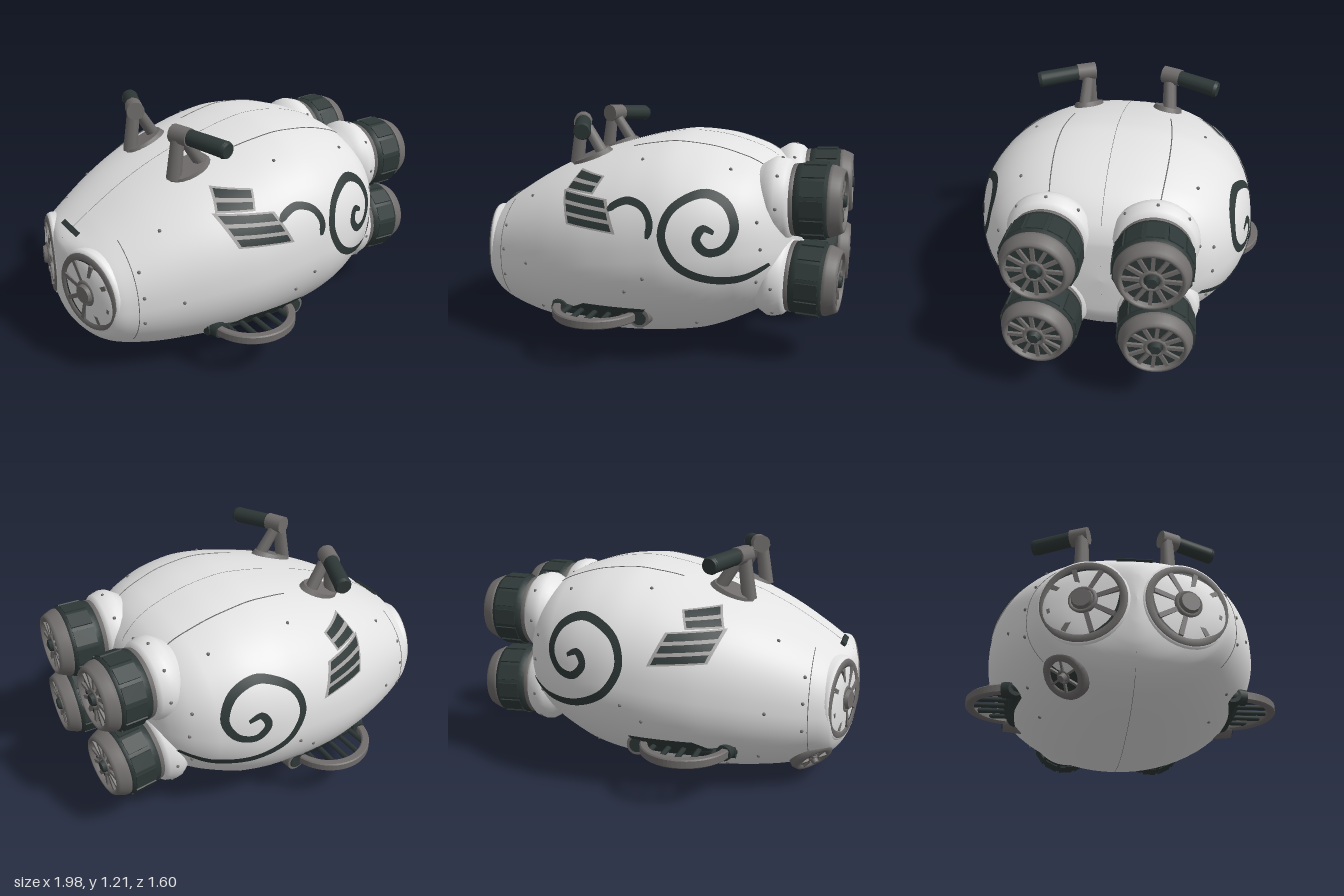
import * as THREE from 'three';

const V = (x, y, z) => new THREE.Vector3(x, y, z);
const UP = V(0, 1, 0);

// Hull stations: x, bottom, top, half width
const STATIONS = [
  [-0.985, 0.46, 0.46, 0], [-0.978, 0.33, 0.59, 0.05], [-0.96, 0.24, 0.645, 0.16], [-0.925, 0.17, 0.68, 0.33],
  [-0.88, 0.125, 0.71, 0.425], [-0.8, 0.08, 0.765, 0.475], [-0.6, 0.03, 0.885, 0.57], [-0.4, 0.01, 0.975, 0.645],
  [-0.2, 0, 1.04, 0.695], [0, 0.01, 1.09, 0.717], [0.15, 0.03, 1.11, 0.72], [0.3, 0.06, 1.1, 0.7],
  [0.5, 0.145, 1.05, 0.622], [0.6, 0.205, 1.0, 0.55], [0.68, 0.28, 0.92, 0.45], [0.73, 0.38, 0.82, 0.3],
  [0.745, 0.6, 0.6, 0],
];

// Smooth monotone interpolation of one station column
function sample(x, k) {
  const S = STATIONS, last = S.length - 1;
  let i = 0;
  while (i < last - 1 && x > S[i + 1][0]) i++;
  const sec = (j) => (S[j + 1][k] - S[j][k]) / (S[j + 1][0] - S[j][0]);
  const slope = (j) => {
    if (j === 0) return sec(0);
    if (j === last) return sec(last - 1);
    const a = sec(j - 1), b = sec(j);
    return a * b > 0 ? (2 * a * b) / (a + b) : 0;
  };
  const d = S[i + 1][0] - S[i][0], t = (x - S[i][0]) / d, t2 = t * t, t3 = t2 * t;
  return (2 * t3 - 3 * t2 + 1) * S[i][k] + (t3 - 2 * t2 + t) * d * slope(i)
    + (3 * t2 - 2 * t3) * S[i + 1][k] + (t3 - t2) * d * slope(i + 1);
}
function section(x) {
  const b = sample(x, 1), t = sample(x, 2);
  return { c: (b + t) / 2, h: (t - b) / 2, w: Math.max(0, sample(x, 3)) };
}
// Point of the hull skin at an angle around the section (0 = side, PI/2 = top)
function around(x, a) {
  const { c, h, w } = section(x), s = Math.sin(a), k = Math.cos(a), e = 2 / (s > 0 ? 2.4 : 2);
  return V(x, c + h * Math.sign(s) * Math.abs(s) ** e, w * Math.sign(k) * Math.abs(k) ** e);
}
// Point on the +z side of the hull, lifted along its normal
function onHull(x, y, lift = 0) {
  const z = (px, py) => {
    const { c, h, w } = section(px), n = py > c ? 2.4 : 2;
    return w * Math.max(0, 1 - Math.abs((py - c) / h) ** n) ** (1 / n);
  };
  const e = 0.004, z0 = z(x, y);
  const n = V(-(z(x + e, y) - z(x - e, y)) / (2 * e), -(z(x, y + e) - z(x, y - e)) / (2 * e), 1).normalize();
  return V(x, y, z0).addScaledVector(n, lift);
}

function hullGeometry() {
  const xs = [], pos = [], idx = [], N = 72;
  for (let i = 0; i < STATIONS.length - 1; i++)
    for (let k = 0; k < 5; k++) xs.push(THREE.MathUtils.lerp(STATIONS[i][0], STATIONS[i + 1][0], k / 5));
  xs.push(STATIONS[STATIONS.length - 1][0]);
  xs.forEach((x, i) => {
    for (let j = 0; j < N; j++) {
      pos.push(...around(x, (j / N) * Math.PI * 2).toArray());
      if (i === xs.length - 1) continue;
      const a = i * N + j, b = i * N + ((j + 1) % N);
      idx.push(a, a + N, b + N, a, b + N, b);
    }
  });
  const g = new THREE.BufferGeometry();
  g.setAttribute('position', new THREE.Float32BufferAttribute(pos, 3));
  g.setIndex(idx);
  g.computeVertexNormals();
  return g;
}

// Thin sheet whose points follow f(u, v)
function sheet(f, nu, nv) {
  const g = new THREE.PlaneGeometry(1, 1, nu, nv), p = g.attributes.position;
  for (let i = 0; i < p.count; i++) p.setXYZ(i, ...f(p.getX(i) + 0.5, p.getY(i) + 0.5).toArray());
  g.computeVertexNormals();
  return g;
}
// Four-cornered patch lying on the hull: corners bottom-left, bottom-right, top-right, top-left
const patch = (c, lift, v0 = 0, v1 = 1, inset = 0) => sheet((u, v) => {
  const s = inset + u * (1 - 2 * inset), t = v0 + v * (v1 - v0);
  const mix = (k) => (c[0][k] * (1 - s) + c[1][k] * s) * (1 - t) + (c[3][k] * (1 - s) + c[2][k] * s) * t;
  return onHull(mix(0), mix(1), lift);
}, 12, 4);
// Painted stroke lying on the hull
function stroke(points, width) {
  const curve = new THREE.SplineCurve(points.map((p) => new THREE.Vector2(...p)));
  return sheet((u, v) => {
    const p = curve.getPoint(u), t = curve.getTangent(u), o = (v - 0.5) * width * Math.min(1, 0.45 + u * 6, 0.45 + (1 - u) * 6);
    return onHull(p.x - t.y * o, p.y + t.x * o, 0.006);
  }, 120, 2);
}

export function createModel() {
  const material = (name, color) => Object.assign(new THREE.MeshStandardMaterial({ color, side: THREE.DoubleSide }), { name });
  const white = material('hullWhite', 0xe2e2e2);
  const pale = material('paleGrey', 0xa3a1a0);
  const grey = material('metalGrey', 0x706d6c);
  const dark = material('darkGreen', 0x2e3837);

  const model = new THREE.Group();
  model.name = 'podShip';
  const add = (parent, name, geo, mat, pos, rot) => {
    const m = new THREE.Mesh(geo, mat);
    m.name = name;
    if (pos) m.position.set(...pos);
    if (rot) m.rotation.set(...rot);
    parent.add(m);
    return m;
  };
  const group = (parent, name, pos, dir) => {
    const g = new THREE.Group();
    g.name = name;
    if (pos) g.position.set(...pos);
    if (dir) g.quaternion.setFromUnitVectors(UP, V(...dir).normalize());
    parent.add(g);
    return g;
  };
  const lathe = (pts, n = 40) => new THREE.LatheGeometry(pts.map((p) => new THREE.Vector2(...p)), n);
  const bar = (parent, name, a, b, r0, r1, mat, sides = 16) => {
    const A = V(...a), B = V(...b), d = B.clone().sub(A);
    const m = add(parent, name, new THREE.CylinderGeometry(r1, r0, d.length(), sides), mat, A.clone().add(B).multiplyScalar(0.5).toArray());
    m.quaternion.setFromUnitVectors(UP, d.normalize());
  };
  const wire = (parent, name, pts, r) =>
    add(parent, name, new THREE.TubeGeometry(new THREE.CatmullRomCurve3(pts), 50, r, 5), grey);
  const line = (n, f) => Array.from({ length: n + 1 }, (_, i) => f(i / n));

  // Spoked round grille facing +y
  function grille(parent, r, spokes, hub) {
    add(parent, 'grilleBack', new THREE.CylinderGeometry(r, r, 0.01, 36), dark);
    for (let i = 0; i < spokes; i++) {
      const a = (i / spokes) * Math.PI * 2;
      add(parent, 'spoke', new THREE.BoxGeometry(r * 0.68, 0.016, r * 0.13), grey,
        [Math.cos(a) * r * 0.64, 0.01, -Math.sin(a) * r * 0.64], [0, a, 0]);
    }
    add(parent, 'hubRing', new THREE.TorusGeometry(r * 0.34, r * 0.07, 6, 20), grey, [0, 0.015, 0], [Math.PI / 2, 0, 0]);
    add(parent, 'hub', new THREE.CylinderGeometry(r * 0.2, r * 0.27, 0.035, 6), hub, [0, 0.02, 0]);
  }

  function engine(parent, name, pos, dir) {
    const g = group(parent, name, pos, dir);
    add(g, 'collar', lathe([[0.17, -0.06], [0.195, -0.02], [0.212, 0.01], [0.214, 0.04], [0.2, 0.085], [0.18, 0.105], [0.15, 0.11]]), white);
    add(g, 'flange', lathe([[0.16, 0.085], [0.176, 0.095], [0.182, 0.125], [0.16, 0.135]]), grey);
    add(g, 'casing', lathe([[0.15, 0.112], [0.178, 0.122], [0.186, 0.16], [0.186, 0.265], [0.18, 0.288], [0.15, 0.292]]), dark);
    for (let i = 0; i < 12; i++) {
      const a = (i / 12) * Math.PI * 2;
      add(g, 'casingPad', new THREE.BoxGeometry(0.012, 0.11, 0.078), dark, [Math.cos(a) * 0.183, 0.215, -Math.sin(a) * 0.183], [0, a, 0]);
    }
    add(g, 'rim', lathe([[0.16, 0.27], [0.178, 0.285], [0.176, 0.305], [0.16, 0.342], [0.152, 0.355], [0.138, 0.355], [0.131, 0.32]]), grey);
    grille(group(g, 'nozzle', [0, 0.325, 0]), 0.14, 12, dark);
    for (let i = 0; i < 8; i++) {
      const a = (i / 8) * Math.PI * 2;
      add(g, 'collarBolt', new THREE.SphereGeometry(0.009, 8, 6), grey, [Math.cos(a) * 0.209, 0.05, Math.sin(a) * 0.209]);
    }
  }

  add(model, 'hull', hullGeometry(), white);

  // Centre seam over the top and underneath, and the slot above the nose
  for (const a of [Math.PI / 2, -Math.PI / 2]) wire(model, 'centreSeam', line(40, (t) => around(-0.95 + 1.69 * t, a)), 0.0012);
  add(model, 'noseSlot', new THREE.BoxGeometry(0.028, 0.02, 0.165), dark, [-0.9, 0.7, 0], [0, 0, 0.65]);

  // Single lamp low on the back side of the nose
  const lamp = group(model, 'lowerLamp', [-0.79, 0.165, -0.295], [-0.55, -0.65, -0.5]);
  add(lamp, 'lampRing', lathe([[0.115, -0.06], [0.115, 0.01], [0.1, 0.03], [0.075, 0.03], [0.07, 0.01]], 28), grey);
  grille(group(lamp, 'lampGrille', [0, 0.012, 0]), 0.08, 6, grey);

  for (const s of [1, -1]) {
    const side = group(model, s > 0 ? 'frontSide' : 'backSide');
    side.scale.z = s;

    engine(side, 'upperEngine', [0.63, 0.81, 0.25], [1, 0.03, 0.04]);
    engine(side, 'lowerEngine', [0.63, 0.425, 0.265], [1, -0.02, 0.07]);

    // Nose grille in a white housing
    const nose = group(side, 'noseGrille', [-0.927, 0.46, 0.232], [-1, 0.02, 0.27]);
    add(nose, 'noseHousing', lathe([[0.222, -0.07], [0.218, -0.012], [0.21, 0.002], [0.198, 0.004]]), white);
    add(nose, 'noseRing', lathe([[0.204, 0], [0.198, 0.011], [0.17, 0.011], [0.162, -0.005]]), grey);
    grille(nose, 0.17, 8, grey);
    add(nose, 'noseHub', new THREE.CylinderGeometry(0.045, 0.062, 0.045, 12), grey, [0, 0.02, 0]);

    // Louvred vent in two stepped blocks
    const vent = group(side, 'vent');
    const blocks = [
      [[[-0.375, 0.845], [-0.2, 0.845], [-0.165, 0.925], [-0.335, 0.935]], 2],
      [[[-0.325, 0.7], [-0.045, 0.685], [-0.115, 0.835], [-0.39, 0.845]], 3],
    ];
    for (const [c, n] of blocks) {
      add(vent, 'ventFrame', patch(c, 0.006), pale);
      for (let i = 0; i < n; i++)
        add(vent, 'ventSlot', patch(c, 0.009, (i + 0.17) / n, (i + 0.83) / n, 0.06), dark);
    }

    // Painted scrolls, the back one drawn larger
    const kx = s > 0 ? 1 : 1.2, ky = s > 0 ? 1 : 1.08;
    const scroll = [[0.655, 0.54], [0.55, 0.49], [0.435, 0.485], [0.32, 0.52], [0.235, 0.585], [0.185, 0.7], [0.225, 0.82],
      [0.35, 0.885], [0.46, 0.84], [0.507, 0.735], [0.47, 0.645], [0.395, 0.625], [0.345, 0.68], [0.37, 0.735], [0.42, 0.715]];
    add(side, 'scroll', stroke(scroll.map(([x, y]) => [0.655 + (x - 0.655) * kx, 0.885 + (y - 0.885) * ky]), 0.039), dark);
    if (s > 0) add(side, 'hookScroll', stroke([[-0.1, 0.79], [-0.05, 0.825], [0.01, 0.84], [0.085, 0.815], [0.125, 0.75], [0.115, 0.68]], 0.034), dark);

    // Handlebar on a two-legged stand
    const handle = group(side, 'handlebar');
    add(handle, 'standBase', new THREE.CylinderGeometry(0.1, 0.12, 0.04, 20), grey, [-0.35, 0.972, 0.225], [0.18, 0, 0.4]).scale.set(1.1, 1, 0.75);
    bar(handle, 'frontLeg', [-0.435, 0.94, 0.23], [-0.405, 1.16, 0.23], 0.04, 0.034, grey, 8);
    bar(handle, 'rearLeg', [-0.28, 0.99, 0.24], [-0.37, 1.13, 0.23], 0.034, 0.03, grey, 8);
    bar(handle, 'clamp', [-0.41, 1.162, 0.195], [-0.375, 1.16, 0.29], 0.048, 0.046, grey, 12);
    bar(handle, 'grip', [-0.375, 1.16, 0.28], [-0.295, 1.142, 0.485], 0.041, 0.043, dark, 20);
    bar(handle, 'gripCap', [-0.297, 1.142, 0.48], [-0.292, 1.14, 0.497], 0.045, 0.038, dark, 20);

    // Footrest: curved rim, rungs and mount
    const foot = group(side, 'footrest');
    add(foot, 'mountPlate', patch([[-0.45, 0.195], [0, 0.205], [0.08, 0.305], [-0.25, 0.3]], 0.008), dark);
    const rim = new THREE.Shape().absellipse(0, 0, 0.225, 0.23, 0, Math.PI * 2);
    rim.holes.push(new THREE.Path().absellipse(0, 0, 0.198, 0.198, 0, Math.PI * 2));
    const rimGeo = new THREE.ExtrudeGeometry(rim, { depth: 0.034, bevelEnabled: true, bevelSize: 0.006, bevelThickness: 0.006, bevelSegments: 1, curveSegments: 32 });
    add(foot, 'rim', rimGeo, grey, [-0.2, 0.264, 0.562], [Math.PI / 2, 0, 0]);
    for (let i = -2; i <= 2; i++) {
      const x = i * 0.075, z = 0.215 * Math.sqrt(1 - (x / 0.22) ** 2);
      bar(foot, 'rung', [-0.2 + x, 0.245, 0.55], [-0.2 + x * 1.05, 0.245, 0.563 + z - 0.01], 0.014, 0.014, dark, 6);
    }
    bar(foot, 'mount', [-0.45, 0.24, 0.53], [0.06, 0.25, 0.56], 0.04, 0.045, dark, 14);
    bar(foot, 'frontBracket', [-0.42, 0.245, 0.5], [-0.4, 0.245, 0.6], 0.045, 0.04, dark, 14);
    bar(foot, 'rearKnuckle', [0.04, 0.245, 0.52], [0.04, 0.245, 0.62], 0.062, 0.052, grey, 20);
    bar(foot, 'knuckleCap', [0.04, 0.245, 0.615], [0.04, 0.245, 0.627], 0.04, 0.036, dark, 16);

    // Panel seams and rivets
    wire(side, 'upperSeam', line(30, (t) => {
      const x = -0.1 + 0.74 * t, { c, h, w } = section(x), z = 0.26 + 0.025 * Math.sin(t * Math.PI);
      return V(x, c + h * (1 - (z / w) ** 2.4) ** (1 / 2.4), z);
    }), 0.003);
    wire(side, 'noseSeam', line(30, (t) => around(-0.785, -0.6 + 1.6 * t)), 0.002);
    const rivets = [[0.01, 1.01], [-0.59, 0.46], [0.09, 0.48], [-0.01, 0.4], [-0.38, 0.12], [0.3, 0.2], [0.6, 0.75],
      [0.62, 0.62], [0.6, 0.45], [-0.76, 0.62], [-0.76, 0.5], [-0.76, 0.36], [-0.55, 0.2], [-0.62, 0.78], [0.45, 0.98]];
    for (const [x, y] of rivets) add(side, 'rivet', new THREE.SphereGeometry(0.009, 8, 6), grey, onHull(x, y).toArray());
  }
  return model;
}
